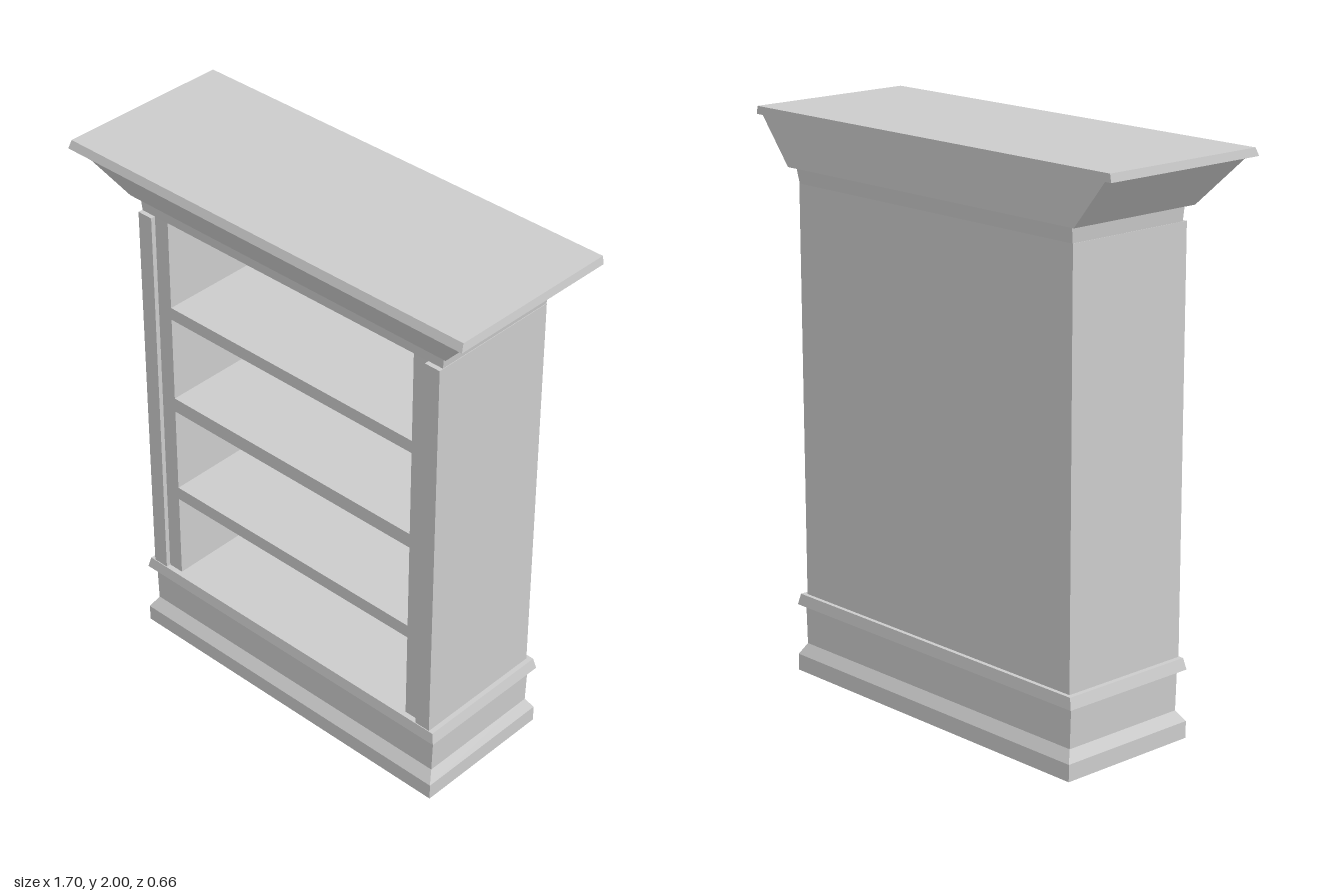
import * as THREE from 'three';

const material = new THREE.MeshStandardMaterial({ color: 0xcccccc, flatShading: true });

// Stack of rectangular rings [y, half width, front z, back z], capped at both ends
function moulding(name, rings) {
  const corners = rings.map(([y, x, f, b]) => [[-x, y, f], [x, y, f], [x, y, b], [-x, y, b]]);
  const pos = [];
  const quad = (a, b, c, d) => pos.push(...a, ...b, ...c, ...a, ...c, ...d);
  for (let i = 0; i < corners.length - 1; i++) {
    const lo = corners[i], hi = corners[i + 1];
    for (let k = 0; k < 4; k++) {
      const n = (k + 1) % 4;
      quad(lo[k], lo[n], hi[n], hi[k]);
    }
  }
  quad(...corners[corners.length - 1]);
  quad(...[...corners[0]].reverse());
  const geometry = new THREE.BufferGeometry();
  geometry.setAttribute('position', new THREE.Float32BufferAttribute(pos, 3));
  geometry.computeVertexNormals();
  const mesh = new THREE.Mesh(geometry, material);
  mesh.name = name;
  return mesh;
}

// Box given by its limits on each axis
function block(name, x0, x1, y0, y1, z0, z1) {
  const mesh = new THREE.Mesh(new THREE.BoxGeometry(x1 - x0, y1 - y0, z1 - z0), material);
  mesh.position.set((x0 + x1) / 2, (y0 + y1) / 2, (z0 + z1) / 2);
  mesh.name = name;
  return mesh;
}

export function createModel() {
  const bookcase = new THREE.Group();
  bookcase.name = 'bookcase';
  const floorY = 0.285, ceilingY = 1.755;
  const backZ = -0.3, panelZ = -0.28, frameZ = 0.188, sideZ = 0.205;

  // Plinth, recessed neck and projecting band
  bookcase.add(moulding('base', [
    [0, 0.685, 0.22, -0.325],
    [0.06, 0.685, 0.22, -0.325],
    [0.1, 0.663, 0.19, -0.3],
    [0.245, 0.668, 0.19, -0.3],
    [0.245, 0.688, 0.215, -0.322],
    [floorY, 0.678, 0.208, -0.315],
  ]));

  // Frieze, sloping cornice and top lip
  bookcase.add(moulding('crown', [
    [ceilingY, 0.658, 0.188, -0.3],
    [1.81, 0.664, 0.19, -0.308],
    [1.81, 0.688, 0.212, -0.325],
    [1.972, 0.82, 0.308, -0.325],
    [1.972, 0.848, 0.328, -0.328],
    [2, 0.843, 0.316, -0.328],
  ]));

  // Side walls with inner stiles set back behind their front edges
  for (const [side, s] of [['left', 1], ['right', -1]]) {
    const span = (a, b) => (s > 0 ? [a, b] : [-b, -a]);
    bookcase.add(block(side + 'SideWall', ...span(0.6, 0.66), floorY, ceilingY, backZ, sideZ));
    bookcase.add(block(side + 'Stile', ...span(0.54, 0.6), floorY, ceilingY, panelZ, frameZ));
  }

  bookcase.add(block('backPanel', -0.6, 0.6, floorY, ceilingY, backZ, panelZ));

  // Shelves
  [[0.615, 0.665], [1.05, 0.995], [1.375, 1.422]].forEach(([a, b], i) => {
    bookcase.add(block('shelf' + (i + 1), -0.54, 0.54, Math.min(a, b), Math.max(a, b), panelZ, frameZ));
  });

  return bookcase;
}
